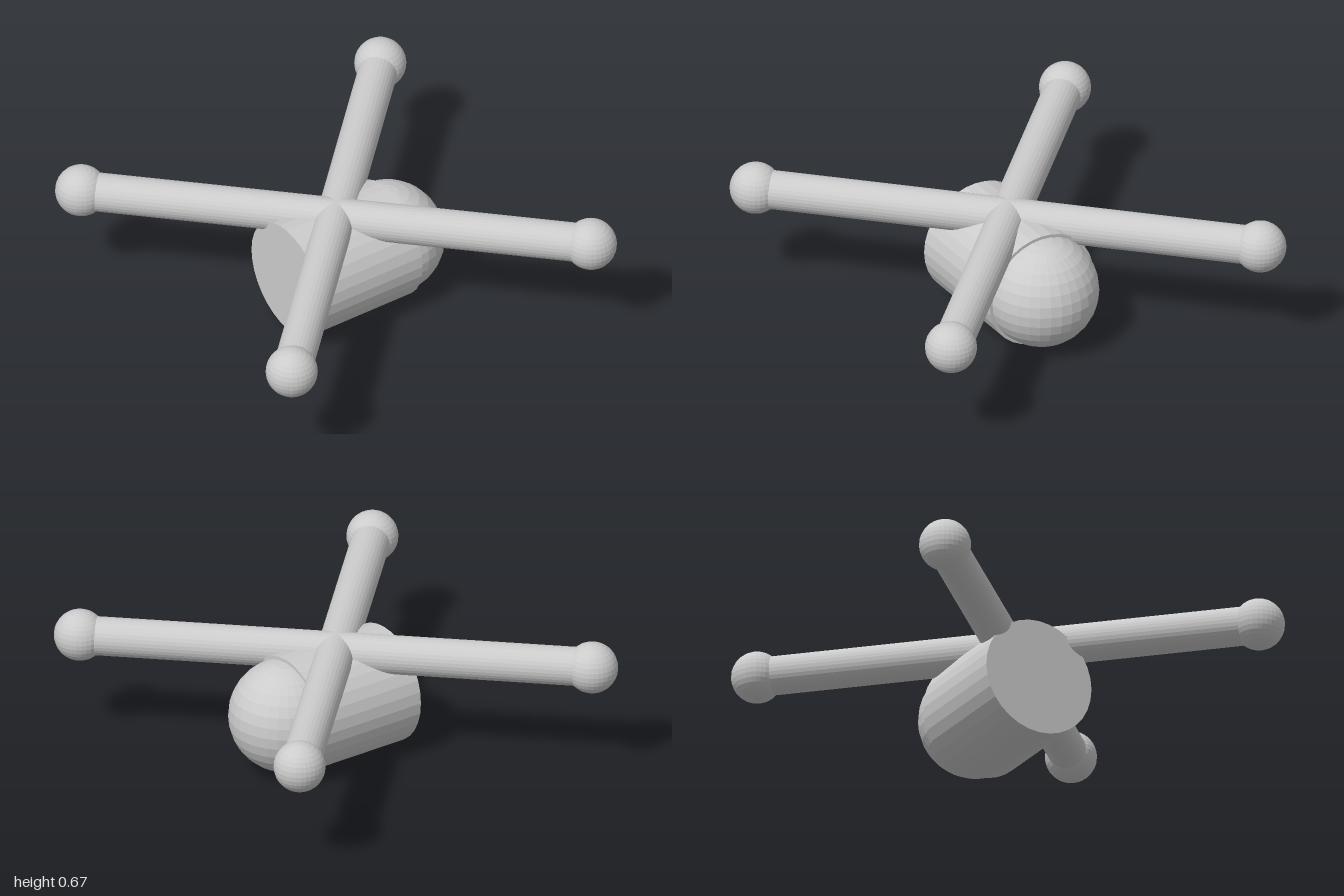
import * as THREE from 'three';

const material = new THREE.MeshStandardMaterial({ color: 0xcccccc, flatShading: true });

function addMesh(parent, name, geometry, x, y, z) {
  const mesh = new THREE.Mesh(geometry, material);
  mesh.name = name;
  mesh.position.set(x, y, z);
  parent.add(mesh);
  return mesh;
}

export function createModel() {
  const model = new THREE.Group();
  model.name = 'crossArmedPod';

  const bodyY = 0.293, armY = 0.543, reach = 0.875;

  // Horizontal barrel with a rounded nose on its left end
  const body = addMesh(model, 'body', new THREE.CylinderGeometry(0.293, 0.293, 0.588, 32), 0.006, bodyY, 0);
  body.rotation.z = Math.PI / 2;
  addMesh(model, 'nose', new THREE.SphereGeometry(0.277, 32, 16), 0.3, bodyY, 0);

  // Two crossed bars, each with a ball on both ends
  const barGeometry = new THREE.CylinderGeometry(0.094, 0.094, reach * Math.SQRT2 * 2, 32);
  barGeometry.rotateX(Math.PI / 2);
  const ballGeometry = new THREE.SphereGeometry(0.125, 32, 16);
  for (const side of [-1, 1]) {
    const bar = addMesh(model, 'crossBar', barGeometry, 0, armY, 0);
    bar.rotation.y = side * Math.PI / 4;
    for (const end of [-1, 1]) {
      addMesh(model, 'endBall', ballGeometry, side * reach, armY, end * reach);
    }
  }
  return model;
}
